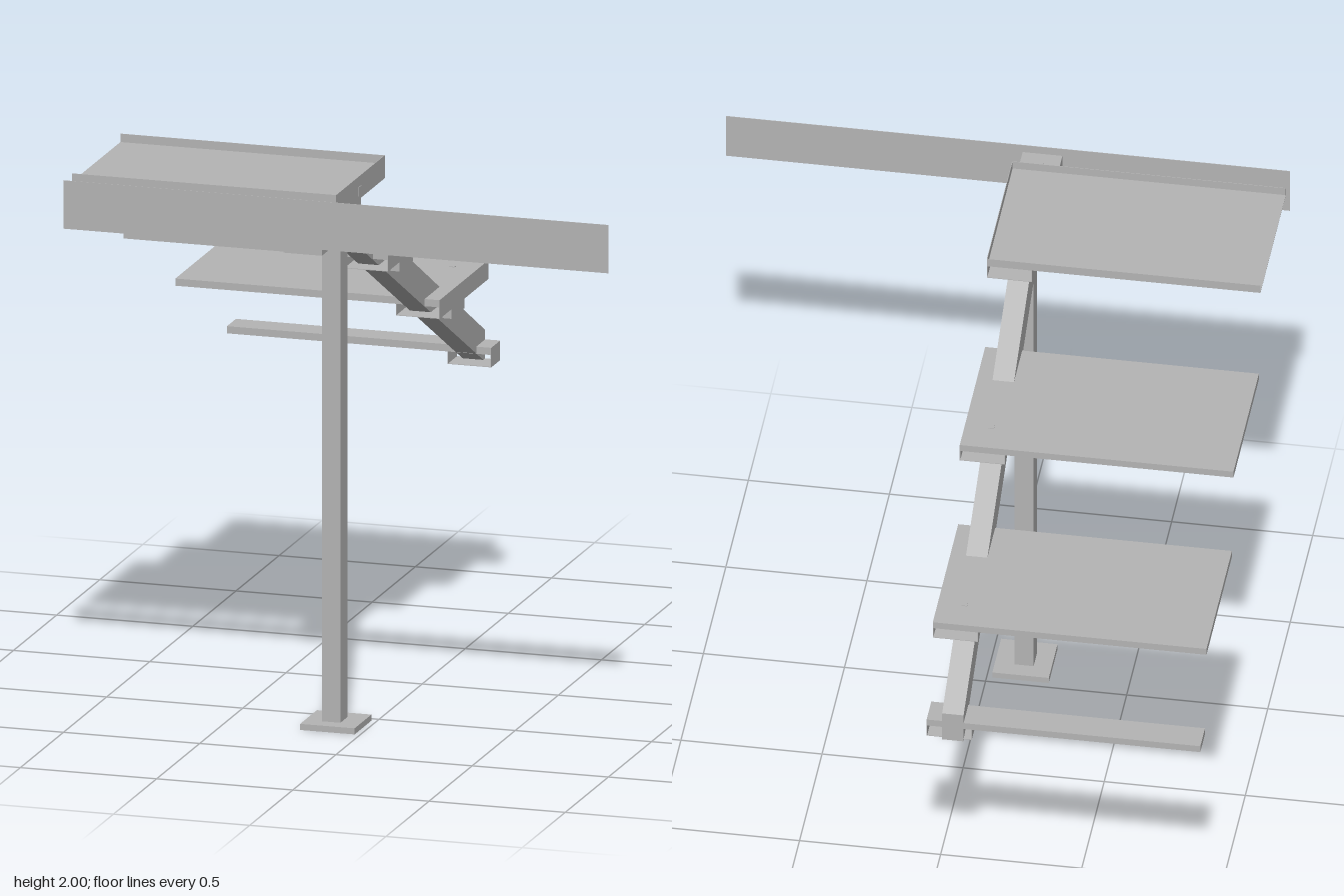
import * as THREE from 'three';

export function createModel() {
  const model = new THREE.Group();
  model.name = 'cantileverStairs';
  const steel = new THREE.MeshStandardMaterial({ color: 0xb4b4b4, side: THREE.DoubleSide });
  steel.name = 'grey steel';
  const T = 0.002; // sheet thickness

  // Box given by its limits on each axis
  function block(name, x0, x1, y0, y1, z0, z1, parent = model) {
    const mesh = new THREE.Mesh(new THREE.BoxGeometry(x1 - x0, y1 - y0, z1 - z0), steel);
    mesh.position.set((x0 + x1) / 2, (y0 + y1) / 2, (z0 + z1) / 2);
    mesh.name = name;
    parent.add(mesh);
    return mesh;
  }

  // Post and foot plate
  block('footPlate', -0.22, -0.02, 0, 0.022, 0.525, 0.72);
  block('post', -0.157, -0.09, 0.022, 1.86, 0.583, 0.663);

  // Sloping stringer, cut upright at both ends (drawn in z, y)
  const side = new THREE.Shape([
    new THREE.Vector2(-0.585, 1.76), new THREE.Vector2(-0.585, 1.893),
    new THREE.Vector2(1, 1.02), new THREE.Vector2(1, 0.905),
  ]);
  const beam = new THREE.ExtrudeGeometry(side, { depth: 0.076, bevelEnabled: false });
  beam.rotateY(Math.PI / 2);
  const stringer = new THREE.Mesh(beam, steel);
  stringer.position.x = -0.161;
  stringer.name = 'stringer';
  model.add(stringer);

  // Thin channel that carries a tread, open at both ends
  function channel(parent, y0, y1, z0, z1) {
    block('channelOuterWall', -0.03 - T, -0.03, y0, y1, z0, z1, parent);
    block('channelInnerWall', -0.19, -0.19 + T, y0, y1, z0, z1, parent);
    block('channelFloor', -0.19, -0.03, y0, y0 + T, z0, z1, parent);
  }

  // Upper treads: slab, channel, support block and bolt
  for (const [top, zc] of [[1.637, 0.02], [1.312, -0.58]]) {
    const tread = new THREE.Group();
    tread.name = 'tread';
    model.add(tread);
    block('treadSlab', -1, -0.03, top - 0.026, top, zc - 0.283, zc + 0.283, tread);
    channel(tread, top - 0.068, top - 0.026, zc - 0.283, zc + 0.283);
    block('supportBlock', -0.193, -0.052, top - 0.122, top - 0.068, zc - 0.077, zc + 0.077, tread);
    block('bolt', -0.134, -0.114, top, top + T, zc - 0.175, zc - 0.155, tread);
  }

  // Lowest tread, cut short
  const last = new THREE.Group();
  last.name = 'lowestTread';
  model.add(last);
  block('treadSlab', -1, -0.03, 0.96, 0.986, -1, -0.896, last);
  channel(last, 0.915, 0.96, -1, -0.896);

  // Landing tray with upturned lips
  const tray = new THREE.Group();
  tray.name = 'landingTray';
  model.add(tray);
  block('trayFloor', -1, -0.03, 1.968, 1.97, 0.338, 0.902, tray);
  block('frontLip', -1, -0.03, 1.97, 2, 0.902 - T, 0.902, tray);
  block('backLip', -1, -0.03, 1.97, 2, 0.338, 0.338 + T, tray);
  block('sideLip', -0.03 - T, -0.03, 1.97, 2, 0.338, 0.902, tray);
  channel(tray, 1.917, 1.968, 0.338, 0.902);
  block('supportBlock', -0.193, -0.052, 1.85, 1.917, 0.545, 0.7, tray);
  block('sideBolt', -0.03, -0.03 + T, 1.928, 1.962, 0.607, 0.641, tray);

  // Wall fixing and fascia board
  block('wallBracket', -0.193, -0.052, 1.803, 1.97, 0.842, 0.998);
  block('bracketBolt', -0.134, -0.114, 1.97, 1.97 + T, 0.93, 0.95);
  block('fascia', -1, 1, 1.825, 2, 1 - T, 1);

  return model;
}
